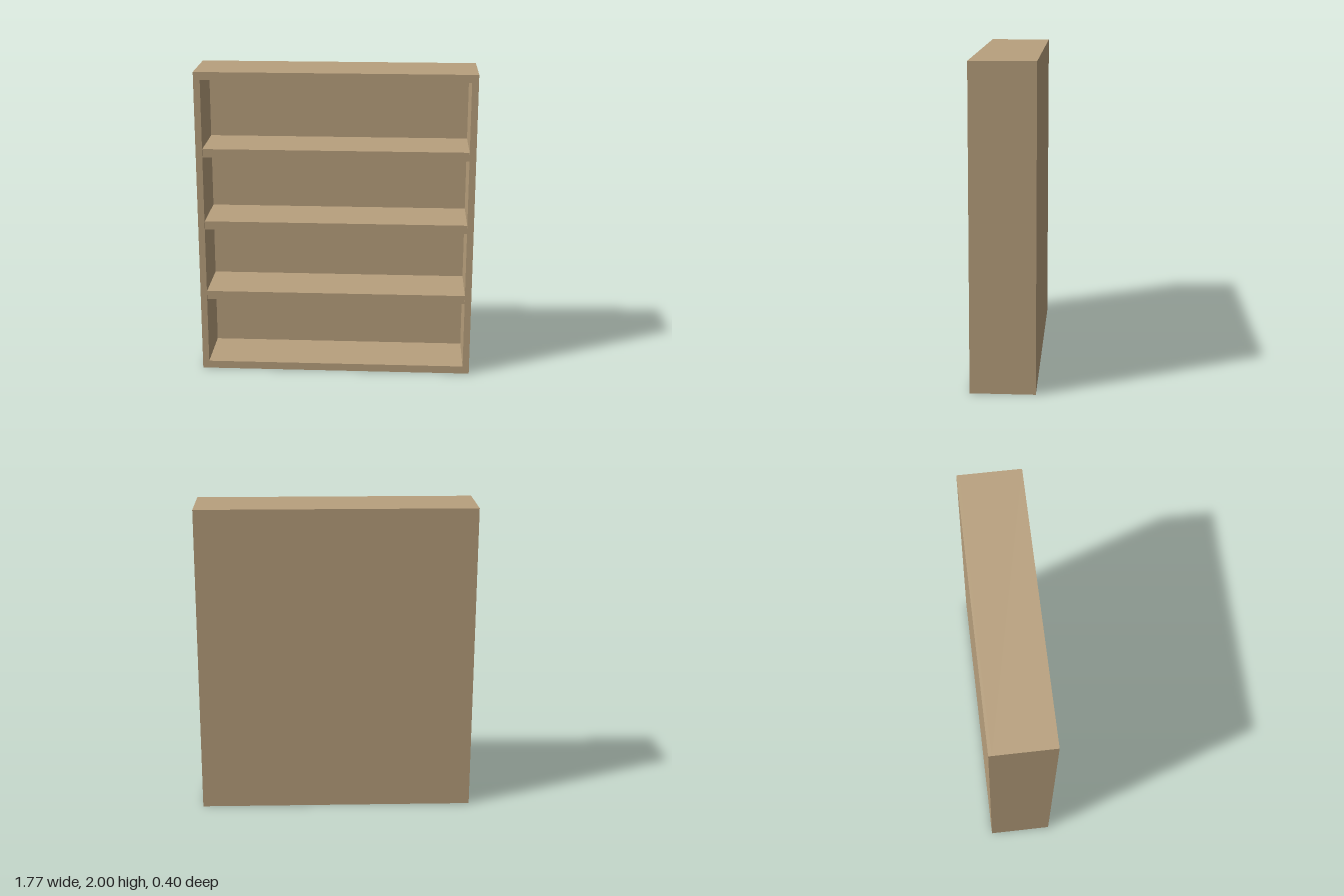
import * as THREE from 'three';

export function createModel() {
  const model = new THREE.Group();
  model.name = 'bookcase';
  const wood = new THREE.MeshStandardMaterial({ color: 0xb8a07d });
  wood.name = 'wood';

  const W = 1.77, H = 2, D = 0.4;         // outer size
  const side = 0.042, rail = 0.05;        // frame thickness
  const back = 0.02, shelfT = 0.055, recess = 0.008;

  const add = (name, geometry, x, y, z) => {
    const mesh = new THREE.Mesh(geometry, wood);
    mesh.name = name;
    mesh.position.set(x, y, z);
    model.add(mesh);
  };

  // Outer frame: one seamless rectangle with the opening cut out
  const outline = (w, h, target) => target
    .moveTo(-w / 2, -h / 2).lineTo(w / 2, -h / 2)
    .lineTo(w / 2, h / 2).lineTo(-w / 2, h / 2).closePath();
  const innerW = W - 2 * side, innerH = H - 2 * rail;
  const frame = outline(W, H, new THREE.Shape());
  frame.holes.push(outline(innerW, innerH, new THREE.Path()));
  add('frame', new THREE.ExtrudeGeometry(frame, { depth: D - back, bevelEnabled: false }),
    0, H / 2, -D / 2 + back);

  // Back panel
  add('backPanel', new THREE.BoxGeometry(W, H, back), 0, H / 2, -D / 2 + back / 2);

  // Three shelves, set slightly behind the frame's front
  const shelfD = D - back - recess;
  const shelf = new THREE.BoxGeometry(innerW, shelfT, shelfD);
  for (let i = 0; i < 3; i++) {
    add(`shelf${i + 1}`, shelf, 0, 0.518 + i * 0.48, -D / 2 + back + shelfD / 2);
  }
  return model;
}
